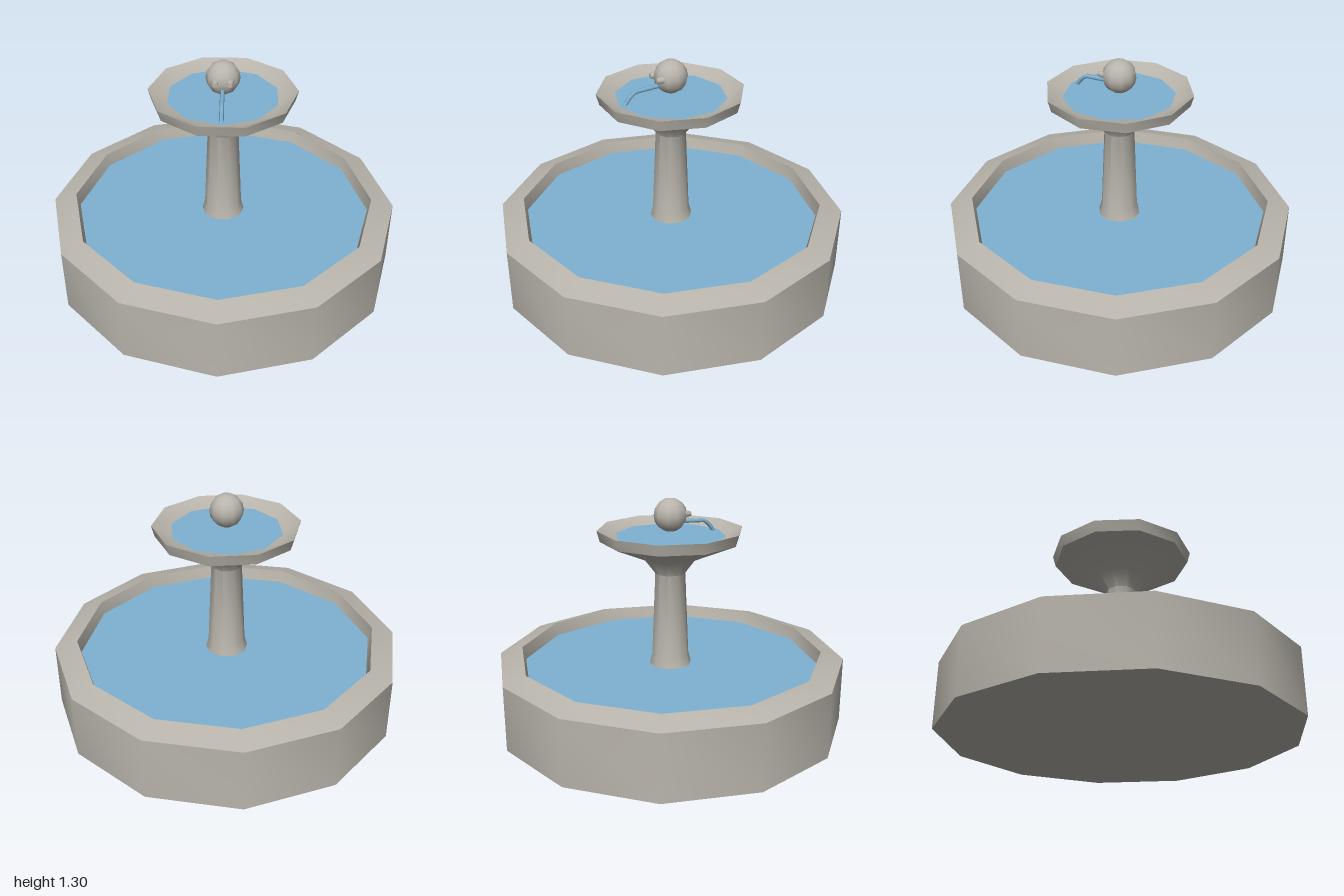
import * as THREE from 'three';
import { toCreasedNormals } from 'three/addons/utils/BufferGeometryUtils.js';

export function createModel() {
  const group = new THREE.Group();
  group.name = 'fountain';
  const stone = new THREE.MeshStandardMaterial({ color: 0xb9b5ac });
  stone.name = 'stone';
  const water = new THREE.MeshStandardMaterial({ color: 0x7fb2d2 });
  water.name = 'water';

  const add = (name, geometry, material, x = 0, y = 0, z = 0) => {
    const mesh = new THREE.Mesh(geometry, material);
    mesh.name = name;
    mesh.position.set(x, y, z);
    group.add(mesh);
    return mesh;
  };

  // Turned stone with a corner on the x axis and sharp edges kept
  const turned = (profile, sides) => toCreasedNormals(
    new THREE.LatheGeometry(profile.map(([r, y]) => new THREE.Vector2(r, y)), sides, Math.PI / 2), 0.75);

  // Flat water surface
  const pool = (radius, sides, start) =>
    new THREE.CircleGeometry(radius, sides, start).rotateX(-Math.PI / 2);

  // Lower basin with a sloping rim
  add('basin', turned([[0, 0], [1, 0], [1, 0.375], [0.87, 0.415], [0.848, 0.325], [0, 0.325]], 12), stone);
  add('basinWater', pool(0.855, 12, 0), water, 0, 0.34, 0);

  // Pedestal flaring into the upper bowl
  add('pedestalAndBowl', turned([
    [0.125, 0.325], [0.106, 0.4], [0.086, 0.88], [0.15, 0.965], [0.393, 1.07],
    [0.41, 1.132], [0.33, 1.09], [0, 1.085],
  ], 10), stone);
  add('bowlWater', pool(0.312, 10, Math.PI / 2), water, 0, 1.097, 0);

  // Head with two raised eyes
  add('head', new THREE.SphereGeometry(0.094, 10, 8), stone, 0, 1.21, 0);
  for (const side of [-1, 1]) {
    const name = side > 0 ? 'leftEye' : 'rightEye';
    add(name, new THREE.CylinderGeometry(0.014, 0.021, 0.04, 8).rotateX(Math.PI / 2),
      stone, side * 0.04, 1.215, 0.085);
  }

  // Jet of water arching from the mouth into the bowl
  const jetPath = new THREE.CurvePath();
  const points = [[1.168, 0.07], [1.16, 0.215], [1.132, 0.25], [1.09, 0.28]]
    .map(([y, z]) => new THREE.Vector3(0, y, z));
  for (let i = 1; i < points.length; i++) jetPath.add(new THREE.LineCurve3(points[i - 1], points[i]));
  add('waterJet', new THREE.TubeGeometry(jetPath, 12, 0.012, 6), water);

  return group;
}
